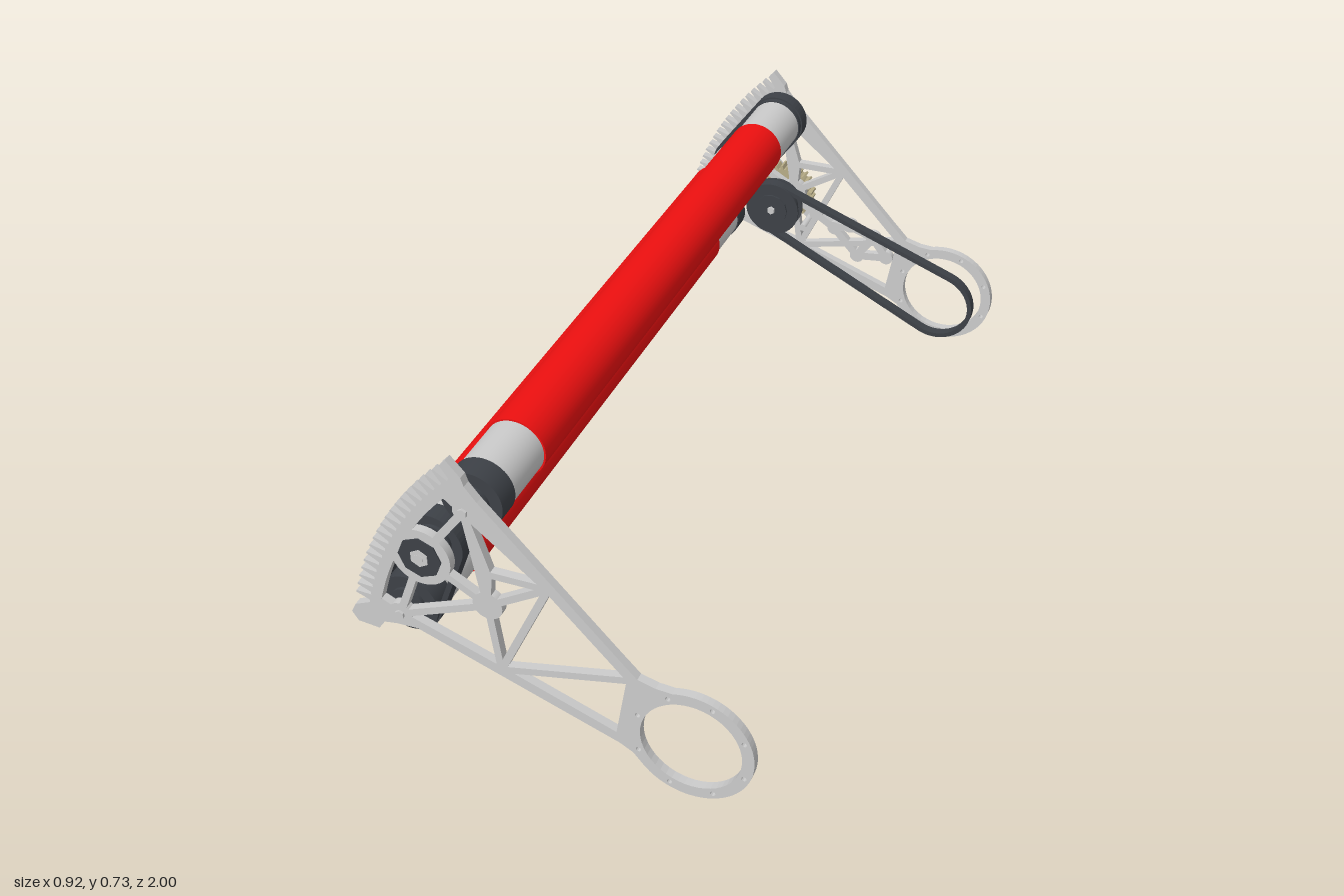
import * as THREE from 'three';

const mat = (color, flat = false) => new THREE.MeshStandardMaterial({ color, flatShading: flat });
const grey = mat(0xcccccc), greyFlat = mat(0xcccccc, true), red = mat(0xee1010);
const dark = mat(0x3d4147), darkFlat = mat(0x3d4147, true), tan = mat(0xb8ad88);

// Key centres in the side plane
const O = [0.32, 0.14];                               // pivot ring
const A = [-0.164, 0.613], B = [-0.275, 0.465], C = [-0.339, 0.292]; // rollers
const P = [-0.166, 0.353];                            // drive pulley
const V = (p) => new THREE.Vector2(p[0], p[1]);
const polar = (c, r, a) => [c[0] + r * Math.cos(a), c[1] + r * Math.sin(a)];
const rad = THREE.MathUtils.degToRad;

function arc(c, r, a0, a1, n) {
  return Array.from({ length: n + 1 }, (_, i) => polar(c, r, a0 + (a1 - a0) * i / n));
}

function add(parent, name, geo, material) {
  const m = new THREE.Mesh(geo, material);
  m.name = name;
  parent.add(m);
  return m;
}

// Flat part: outline with holes, extruded between two z values
function slab(parent, name, outline, holes, z0, z1, material) {
  const s = new THREE.Shape(outline.map(V));
  holes.forEach((h) => s.holes.push(new THREE.Path(h.map(V))));
  const g = new THREE.ExtrudeGeometry(s, { depth: z1 - z0, bevelEnabled: false });
  g.translate(0, 0, z0);
  return add(parent, name, g, material);
}

// Cylinder lying along z
function disc(parent, name, c, r, z0, z1, material, sides = 40) {
  const g = new THREE.CylinderGeometry(r, r, z1 - z0, sides);
  g.rotateX(Math.PI / 2);
  g.translate(c[0], c[1], (z0 + z1) / 2);
  return add(parent, name, g, material);
}

// Outline wrapped round two circles
function hull(c1, r1, c2, r2) {
  const dx = c2[0] - c1[0], dy = c2[1] - c1[1];
  const t = Math.atan2(dy, dx), f = Math.acos((r1 - r2) / Math.hypot(dx, dy));
  return [...arc(c1, r1, t + f, t + 2 * Math.PI - f, 24), ...arc(c2, r2, t - f, t + f, 24)];
}

function belt(parent, name, c1, r1, c2, r2, z0, z1) {
  const th = 0.012;
  slab(parent, name, hull(c1, r1, c2, r2), [hull(c1, r1 - th, c2, r2 - th)], z0, z1, dark);
}

// Shrink a polygon by moving every edge inwards
function inset(pts, d) {
  const n = pts.length;
  let area = 0;
  pts.forEach((p, i) => { const q = pts[(i + 1) % n]; area += p[0] * q[1] - q[0] * p[1]; });
  const s = Math.sign(area);
  const edge = (i) => {
    const p = pts[i % n], q = pts[(i + 1) % n];
    const l = Math.hypot(q[0] - p[0], q[1] - p[1]);
    const nx = -s * (q[1] - p[1]) / l, ny = s * (q[0] - p[0]) / l;
    return [nx, ny, nx * p[0] + ny * p[1] + d];
  };
  return pts.map((_, i) => {
    const [a, b, e] = edge(i + n - 1), [c, f, g] = edge(i);
    const k = a * f - b * c;
    return [(e * f - b * g) / k, (a * g - e * c) / k];
  });
}

function gearOutline(c, r, teeth, depth) {
  const pts = [];
  for (let i = 0; i < teeth; i++) {
    [[0, -1], [0.25, -1], [0.42, 0], [0.72, 0], [0.9, -1]].forEach(([f, k]) =>
      pts.push(polar(c, r + k * depth, (i + f) / teeth * 2 * Math.PI)));
  }
  return pts;
}

function sidePlate(name, z0, z1) {
  const g = new THREE.Group();
  g.name = name;
  // Toothed rack edge, upper edge, pivot ring, lower edge
  const rack = [], teeth = 20, a0 = rad(167.5), step = rad(36) / teeth;
  for (let i = 0; i < teeth; i++) {
    [[0, 0.748], [0.3, 0.75], [0.5, 0.783], [0.7, 0.783]].forEach(([f, r]) =>
      rack.push(polar(O, r, a0 - (i + f) * step)));
  }
  const outline = [
    [-0.30, 0.264], [-0.35, 0.262], [-0.38, 0.257], [-0.395, 0.235], [-0.445, 0.24], [-0.459, 0.262],
    [-0.448, 0.285], ...rack, [-0.193, 0.735], [-0.162, 0.70], [-0.156, 0.68], [-0.13, 0.647],
    [0.165, 0.33], [0.205, 0.288], [0.245, 0.277],
    ...arc(O, 0.14, rad(106), rad(-142), 48), [0.19, 0.078], [0.16, 0.095],
  ];
  // Truss nodes and the openings between them
  const H = [-0.127, 0.38], Q = [-0.12, 0.465], T = [0.014, 0.466];
  const N = [0.19, 0.279], M = [0.16, 0.112], K = [-0.107, 0.211];
  const faces = [
    [A, ...arc(O, 0.732, rad(136), rad(150.5), 6), B],
    [B, ...arc(O, 0.732, rad(152.3), rad(166), 6), C],
    [A, B, H], [B, C, H], [C, K, H], [A, Q, T], [Q, H, T], [H, K, T], [T, K, N], [K, M, N],
  ];
  const holes = faces.map((f) => inset(f, 0.0085));
  holes.push(arc(O, 0.113, 0, 2 * Math.PI, 48).slice(0, -1));
  for (let i = 0; i < 8; i++) {
    holes.push(arc(polar(O, 0.127, rad(22.5 + 45 * i)), 0.006, 0, 2 * Math.PI, 10).slice(0, -1));
  }
  slab(g, 'trussPlate', outline, holes, z0, z1, grey);
  [[A, 0.024], [C, 0.028], [H, 0.034]].forEach(([c, r]) => disc(g, 'hub', c, r, z0, z1, grey));
  // Bearing seat for the middle roller
  disc(g, 'bearingSeat', B, 0.07, z0, z1, grey);
  disc(g, 'bearing', B, 0.05, z0 - 0.003, z1 + 0.003, darkFlat, 8);
  disc(g, 'bearingHub', B, 0.022, z0 - 0.005, z1 + 0.005, greyFlat, 6);
  return g;
}

export function createModel() {
  const model = new THREE.Group();
  model.add(sidePlate('frontSidePlate', 0.974, 0.994));
  const back = sidePlate('backSidePlate', -0.92, -0.90);
  model.add(back);

  // Extra webbing on the back plate
  const web = [[-0.127, 0.36], [-0.06, 0.32], [-0.005, 0.285], [0.065, 0.21], [0.15, 0.22], [0.11, 0.275], [0.04, 0.30]];
  [[0, 1], [1, 2], [2, 3], [3, 4], [4, 5], [5, 6], [6, 2], [5, 3]].forEach(([i, j]) =>
    slab(back, 'web', hull(web[i], 0.011, web[j], 0.0111), [], -0.919, -0.901, grey));
  web.slice(1).forEach((c) => disc(back, 'webBoss', c, 0.02, -0.919, -0.901, grey, 20));

  // Rollers: grey tube, red sleeve, dark end caps and hex axle
  [['topRoller', A, 0.957], ['middleRoller', B, 0.935], ['bottomRoller', C, 0.957]].forEach(([name, c, capEnd]) => {
    const r = new THREE.Group();
    r.name = name;
    model.add(r);
    disc(r, 'tube', c, 0.067, -0.836, 0.902, grey, 48);
    disc(r, 'sleeve', c, 0.071, -0.685, 0.76, red, 48);
    disc(r, 'frontCap', c, 0.07, 0.90, capEnd, dark, 48);
    disc(r, 'frontCapHub', c, 0.042, capEnd, capEnd + 0.008, dark, 32);
    disc(r, 'backCap', c, 0.07, -0.888, -0.834, dark, 48);
    disc(r, 'axle', c, 0.011, -0.93, 1.0, greyFlat, 6);
  });

  // Drive pulley with flanges
  const pulley = new THREE.Group();
  pulley.name = 'drivePulley';
  model.add(pulley);
  disc(pulley, 'core', P, 0.066, -0.888, -0.832, dark);
  disc(pulley, 'frontFlange', P, 0.077, -0.832, -0.827, dark);
  disc(pulley, 'backFlange', P, 0.077, -0.868, -0.862, dark);
  disc(pulley, 'hub', P, 0.045, -0.827, -0.822, darkFlat, 12);
  disc(pulley, 'axle', P, 0.011, -0.998, -0.815, greyFlat, 6);

  // Belts
  belt(model, 'driveBelt', P, 0.076, O, 0.103, -0.86, -0.834);
  belt(model, 'upperBelt', A, 0.074, B, 0.074, -0.885, -0.848);
  belt(model, 'lowerBelt', B, 0.074, C, 0.074, 0.91, 0.948);

  // Meshing gears outside the back plate
  [['rollerGear', B], ['pulleyGear', P]].forEach(([name, c], i) => {
    const holes = Array.from({ length: 6 }, (_, k) =>
      arc(polar(c, 0.046, k * Math.PI / 3), 0.011, 0, 2 * Math.PI, 12).slice(0, -1));
    slab(model, name, gearOutline(c, 0.082, 28, 0.011), i ? holes : [], -0.968, -0.932, tan);
    disc(model, name + 'Hub', c, 0.025, -0.978, -0.92, grey, 24);
    disc(model, name + 'Axle', c, 0.011, -1.0, -0.9, greyFlat, 6);
  });

  // Thin outer link across both gear axles
  const E = [-0.098, 0.268];
  slab(model, 'outerLink', hull(B, 0.024, E, 0.0241), [], -0.997, -0.988, grey);
  disc(model, 'linkPost', E, 0.01, -0.99, -0.90, grey, 16);
  return model;
}
